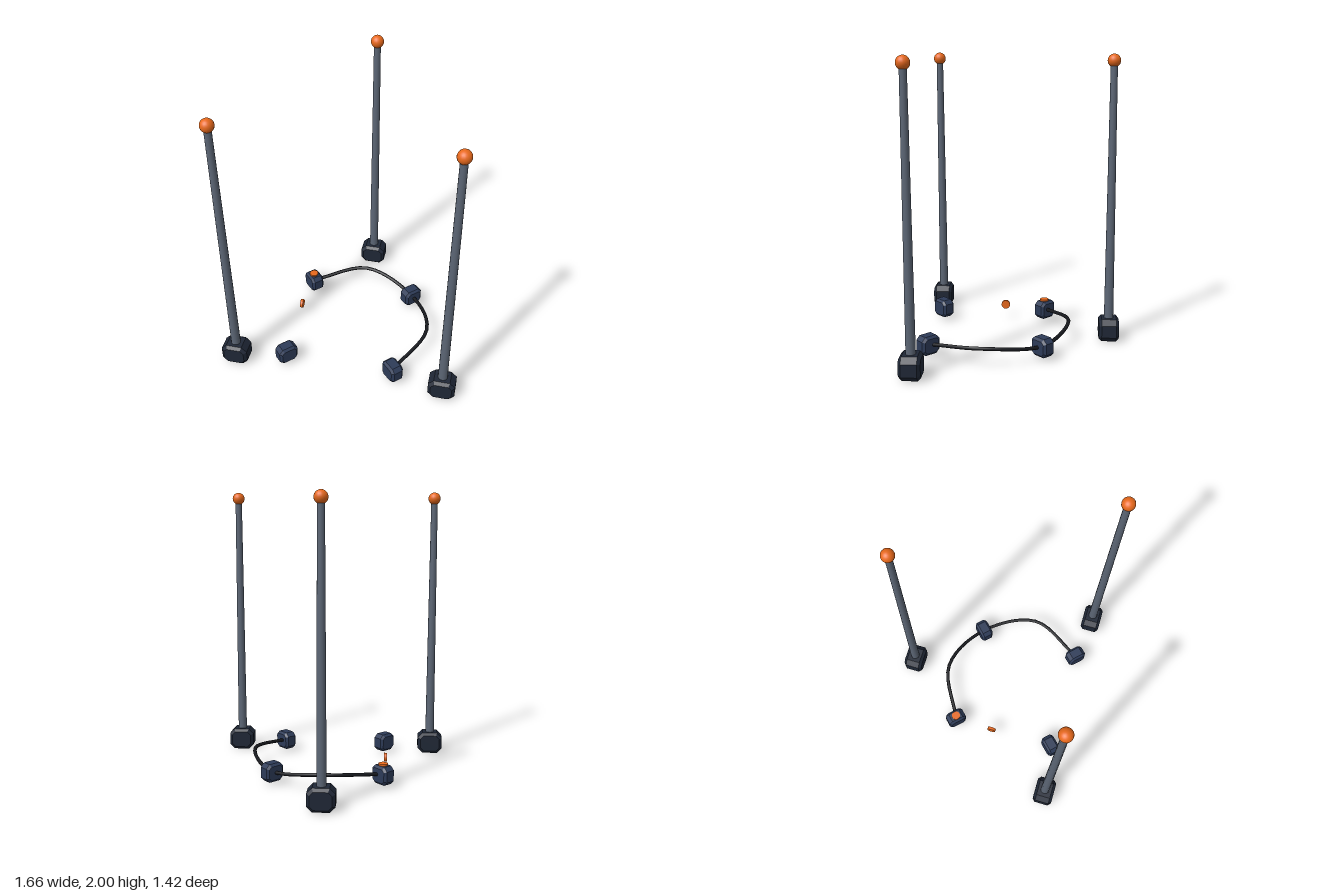
import * as THREE from 'three';

const mat = (color) => new THREE.MeshStandardMaterial({ color });
const flat = (color) => new THREE.MeshStandardMaterial({ color, flatShading: true });

// Block with an octagonal outline in x/y and bevelled front and back, centred on the origin
function bevelledBlock(w, h, d, corner, bevel) {
  const a = w / 2 - bevel, b = h / 2 - bevel;
  const outline = [
    [a - corner, -b], [a, -b + corner], [a, b - corner], [a - corner, b],
    [-a + corner, b], [-a, b - corner], [-a, -b + corner], [-a + corner, -b],
  ].map(([x, y]) => new THREE.Vector2(x, y));
  const geometry = new THREE.ExtrudeGeometry(new THREE.Shape(outline), {
    depth: d - 2 * bevel, bevelEnabled: true, bevelSegments: 1,
    bevelSize: bevel, bevelThickness: bevel,
  });
  geometry.translate(0, 0, -d / 2 + bevel);
  return geometry;
}

export function createModel() {
  const group = new THREE.Group();
  const orange = mat(0xe8691c);
  const steel = mat(0x5c6675);
  const darkBlue = flat(0x1f2736);
  const blue = flat(0x2d3b58);
  const black = mat(0x17191e);

  const add = (parent, name, geometry, material, x, y, z) => {
    const mesh = new THREE.Mesh(geometry, material);
    mesh.name = name;
    mesh.position.set(x, y, z);
    parent.add(mesh);
    return mesh;
  };

  // Three tall posts: bevelled foot, tapered rod, ball tip
  const footGeo = bevelledBlock(0.185, 0.16, 0.142, 0.025, 0.02);
  const rodGeo = new THREE.CylinderGeometry(0.024, 0.033, 1.82, 16);
  const ballGeo = new THREE.SphereGeometry(0.045, 20, 14);
  for (const [x, z] of [[-0.74, 0.64], [0.74, 0.64], [0, -0.64]]) {
    const post = new THREE.Group();
    post.name = 'post';
    post.position.set(x, 0, z);
    add(post, 'postFoot', footGeo, darkBlue, 0, 0.08, 0);
    add(post, 'postRod', rodGeo, steel, 0, 1.03, 0);
    add(post, 'postBall', ballGeo, orange, 0, 1.955, 0);
    group.add(post);
  }

  // Four small pods, each with its long side pointing at the middle of the ring
  const podGeo = bevelledBlock(0.142, 0.13, 0.096, 0.018, 0.016);
  for (const sx of [-1, 1]) {
    for (const sz of [-1, 1]) {
      const pod = add(group, 'pod', podGeo, blue, sx * 0.385, 0.085, 0.205 + sz * 0.385);
      pod.rotation.y = -sx * sz * Math.PI / 4;
    }
  }

  // Button on the back right pod
  add(group, 'podButton', new THREE.CylinderGeometry(0.032, 0.032, 0.024, 20), orange, -0.385, 0.15, -0.177);

  // Loose disc standing on edge
  const disc = add(group, 'disc', new THREE.CylinderGeometry(0.032, 0.032, 0.021, 20), orange, -0.4, 0.109, 0.117);
  disc.rotation.z = Math.PI / 2;

  // Cable linking three pods, rising between them
  const path = new THREE.CatmullRomCurve3([
    [-0.385, 0.085, -0.18], [0, 0.13, -0.357], [0.385, 0.085, -0.18],
    [0.565, 0.13, 0.205], [0.385, 0.085, 0.59],
  ].map((p) => new THREE.Vector3(...p)));
  add(group, 'cable', new THREE.TubeGeometry(path, 28, 0.013, 8), black, 0, 0, 0);

  return group;
}
